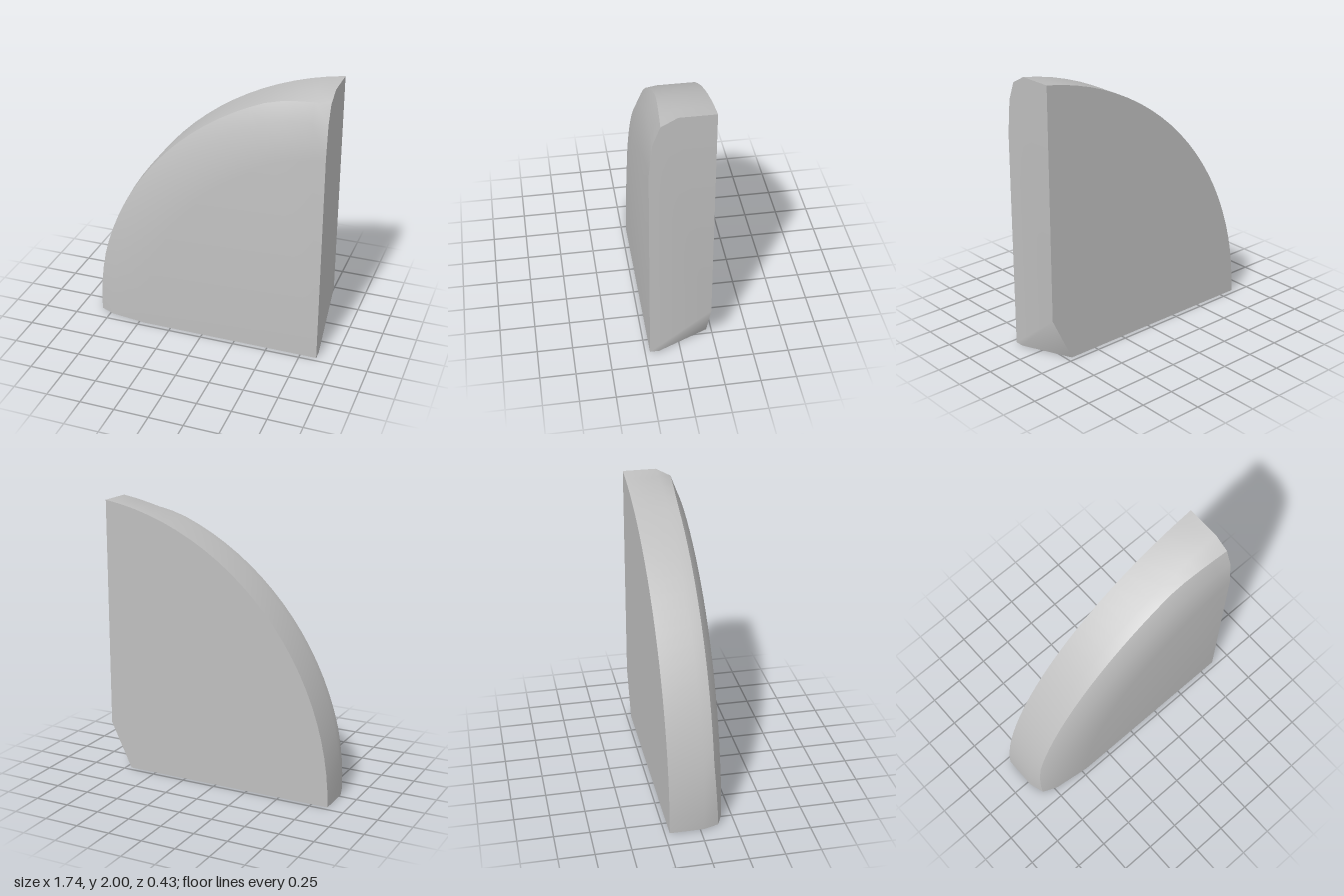
import * as THREE from 'three';
import { toCreasedNormals } from 'three/addons/utils/BufferGeometryUtils.js';

const V = (x, y, z) => new THREE.Vector3(x, y, z);
const BACK = -0.215, FRONT = 0.215, SIDE = 0.87;
const STEPS = 24, RADIUS = 2.02, CENTRE_X = 1.15;
const END = Math.PI - Math.acos((CENTRE_X - SIDE) / RADIUS) - Math.PI / 2 + Math.PI / 2;

// Rounded front edge: [inset, z] at the foot, along the middle and at the top of the arc.
const RINGS = [
  [[0, BACK], [0, BACK], [0, BACK]],
  [[0, 0.025], [0, 0.03], [0, 0.03]],
  [[0.035, 0.135], [0.01, 0.107], [0.06, 0.14]],
  [[0.14, 0.18], [0.12, 0.172], [0.19, 0.19]],
  [[0.41, FRONT], [0.41, FRONT], [0.43, FRONT]],
];

// Point on the circular arc, moved in toward the straight corner by the ring's inset.
function ringPoint(ring, i) {
  const t = i / STEPS;
  const angle = t * Math.acos((CENTRE_X - SIDE) / RADIUS);
  const p = V(CENTRE_X - RADIUS * Math.cos(angle), RADIUS * Math.sin(angle), 0);
  if (i === STEPS) p.x = SIDE;
  const foot = Math.max(0, 1 - t / 0.17), top = Math.max(0, 1 - (1 - t) / 0.15);
  const mix = k => ring[1][k] + foot * (ring[0][k] - ring[1][k]) + top * (ring[2][k] - ring[1][k]);
  p.addScaledVector(V(SIDE, 0, 0).sub(p).normalize(), mix(0));
  p.z = mix(1);
  return p;
}

export function createModel() {
  const group = new THREE.Group();
  const grey = new THREE.MeshStandardMaterial({ color: 0xbfbfbf });
  grey.name = 'plain grey';

  const positions = [];
  const inside = V(0.2, 0.7, 0);
  // Convex polygon as a fan, each triangle turned to face outward.
  const face = points => {
    for (let i = 1; i < points.length - 1; i++) {
      const [a, b, c] = [points[0], points[i], points[i + 1]];
      const n = b.clone().sub(a).cross(c.clone().sub(a));
      if (n.lengthSq() < 1e-12) continue;
      const order = n.dot(a.clone().sub(inside)) > 0 ? [a, b, c] : [a, c, b];
      order.forEach(p => positions.push(p.x, p.y, p.z));
    }
  };

  const rings = RINGS.map(ring =>
    Array.from({ length: STEPS + 1 }, (_, i) => ringPoint(ring, i)));

  // Curved rim and rounded front edge
  for (let r = 0; r < rings.length - 1; r++)
    for (let i = 0; i < STEPS; i++)
      face([rings[r][i], rings[r][i + 1], rings[r + 1][i + 1], rings[r + 1][i]]);

  // Flat front, back, bottom and side, with the back lower corner cut away
  const frontCorner = V(SIDE, 0, FRONT);
  const cutSide = V(SIDE, 0.335, BACK), cutBottom = V(0.71, 0, BACK), cutFront = V(SIDE, 0, 0.15);
  face([frontCorner, ...rings[4]]);
  face([cutBottom, ...rings[0], cutSide]);
  face([cutBottom, ...rings.map(r => r[0]), frontCorner, cutFront]);
  face([cutSide, ...rings.map(r => r[STEPS]), frontCorner, cutFront]);
  face([cutSide, cutBottom, cutFront]);

  const geometry = new THREE.BufferGeometry();
  geometry.setAttribute('position', new THREE.Float32BufferAttribute(positions, 3));
  const mesh = new THREE.Mesh(toCreasedNormals(geometry, 0.6), grey);
  mesh.name = 'quarterRoundPanel';
  group.add(mesh);
  return group;
}
